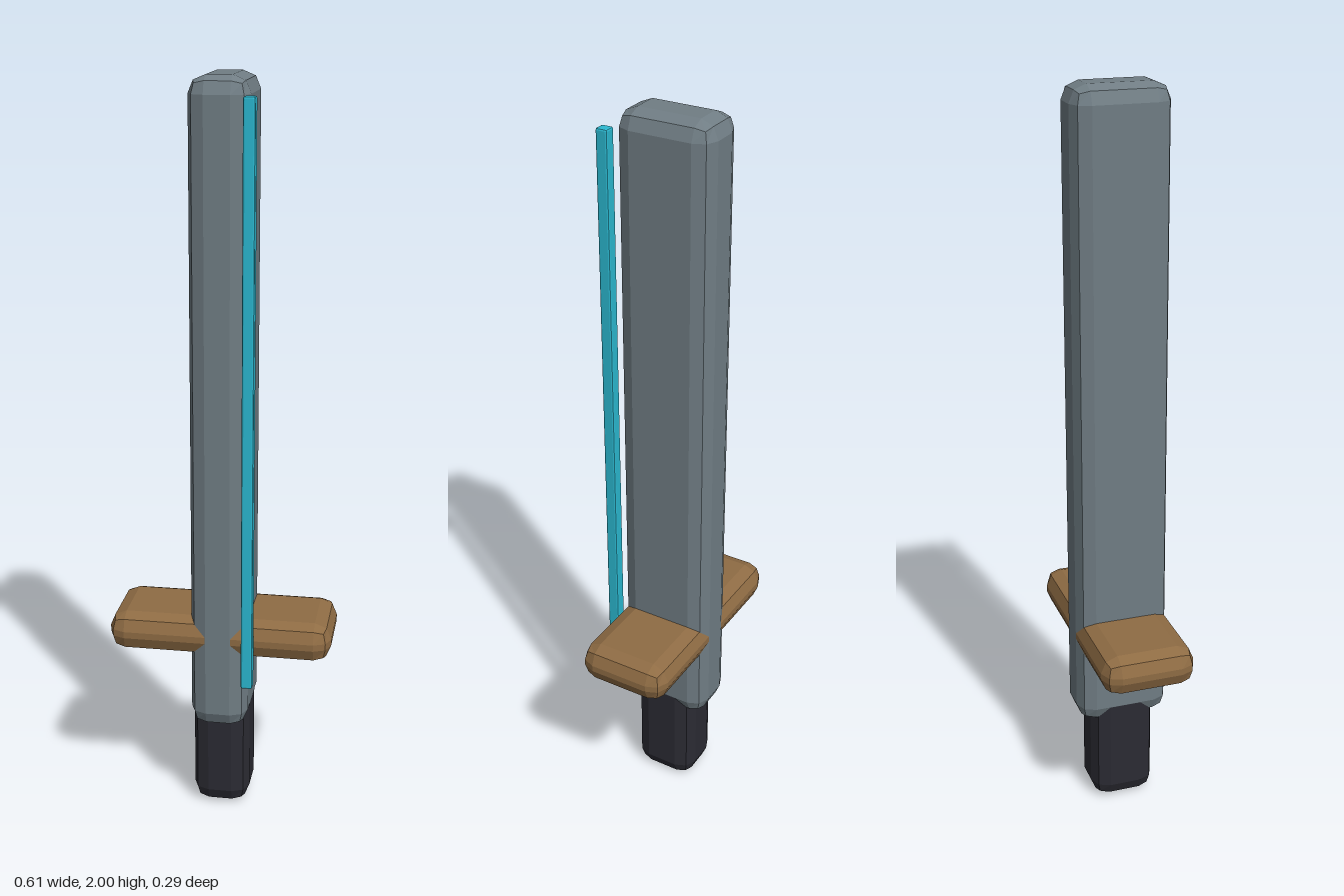
import * as THREE from 'three';
import { RoundedBoxGeometry } from 'three/addons/geometries/RoundedBoxGeometry.js';

const flat = (name, color) => {
  const m = new THREE.MeshStandardMaterial({ color, flatShading: true });
  m.name = name;
  return m;
};

export function createModel() {
  const group = new THREE.Group();
  group.name = 'sword';

  const steel = flat('steel grey', 0x707d84);
  const wood = flat('wood brown', 0x8f6c44);
  const grip = flat('grip black', 0x2b2b33);
  const glow = flat('edge cyan', 0x2bb8d0);

  // Box with two-facet rounded edges, given by its min and max corners
  const block = (name, material, min, max, radius) => {
    const size = max.map((v, i) => v - min[i]);
    const mesh = new THREE.Mesh(new RoundedBoxGeometry(...size, 1, radius), material);
    mesh.position.set(...max.map((v, i) => (v + min[i]) / 2));
    mesh.name = name;
    group.add(mesh);
  };

  // Broad, straight blade
  block('blade', steel, [-0.078, 0.26, -0.144], [0.078, 2, 0.113], 0.045);
  // Crossguard, a hair shallower than the blade so that the faces do not clash
  block('crossguard', wood, [-0.303, 0.47, -0.1435], [0.303, 0.578, 0.1125], 0.045);
  // Handle running up into the blade
  block('handle', grip, [-0.0775, 0, -0.104], [0.0775, 0.5, 0.074], 0.045);
  // Thin bright strip along the front left edge
  block('edgeStrip', glow, [0.068, 0.405, 0.112], [0.099, 1.955, 0.144], 0.005);

  return group;
}
